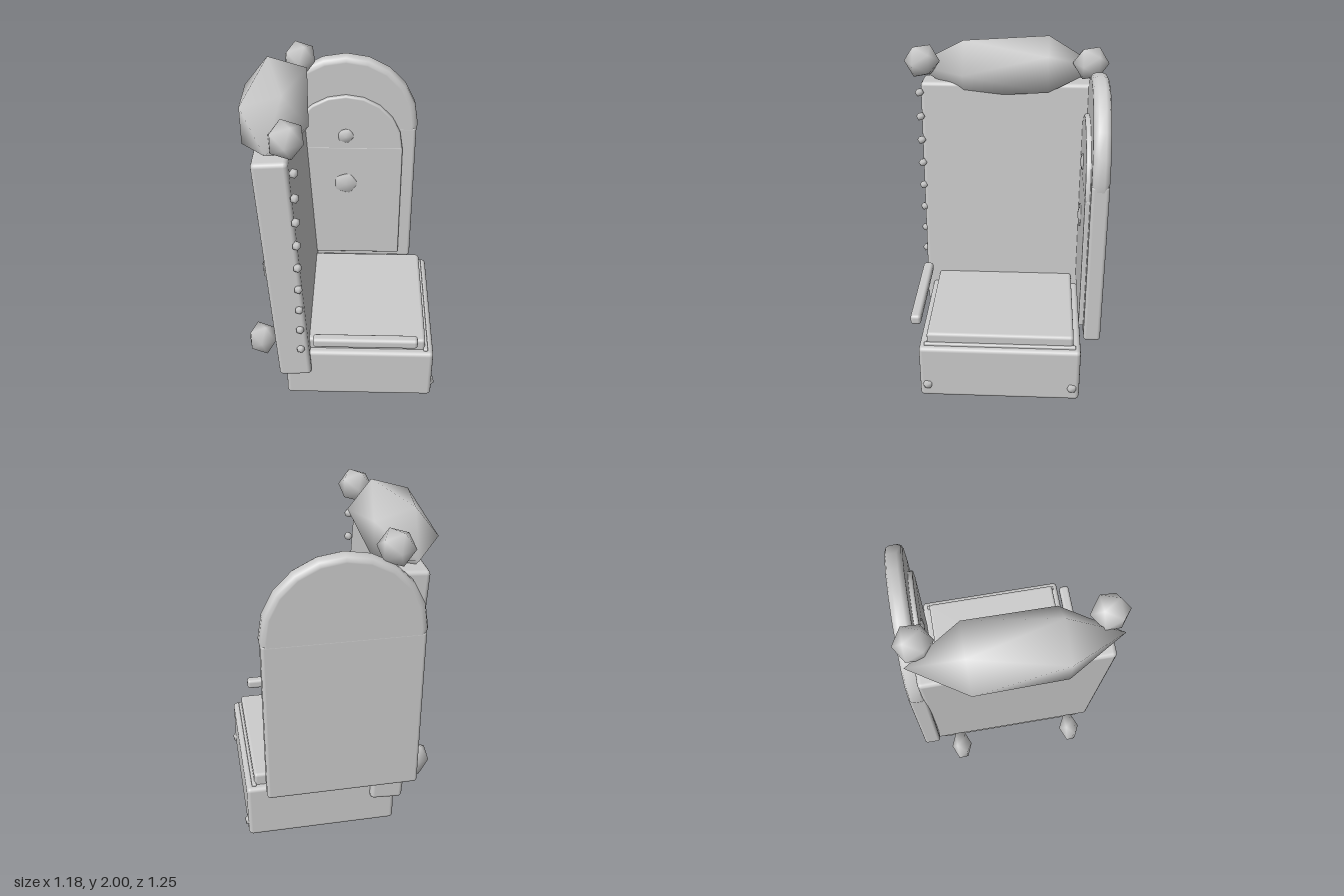
import * as THREE from 'three';
import { mergeVertices } from 'three/addons/utils/BufferGeometryUtils.js';
import { RoundedBoxGeometry } from 'three/addons/geometries/RoundedBoxGeometry.js';

export function createModel() {
  const model = new THREE.Group();
  model.name = 'highBackedSeat';
  const grey = new THREE.MeshStandardMaterial({ color: 0xcccccc });
  grey.name = 'light grey';

  function add(name, geometry, x, y, z) {
    const mesh = new THREE.Mesh(geometry, grey);
    mesh.name = name;
    mesh.position.set(x, y, z);
    model.add(mesh);
    return mesh;
  }

  // Softly bevelled block given by its extents
  function block(name, x0, x1, y0, y1, z0, z1, bevel) {
    const geometry = new RoundedBoxGeometry(x1 - x0, y1 - y0, z1 - z0, 2, bevel);
    return add(name, geometry, (x0 + x1) / 2, (y0 + y1) / 2, (z0 + z1) / 2);
  }

  // Smooth-shaded twelve-point ball with its poles along z
  function ball(name, x, y, z, rx, ry = rx, rz = rx) {
    let geometry = new THREE.IcosahedronGeometry(1, 0);
    geometry.rotateX(Math.atan(2 / (1 + Math.sqrt(5))));
    geometry.rotateZ(Math.PI / 2);
    geometry.deleteAttribute('normal');
    geometry.deleteAttribute('uv');
    geometry = mergeVertices(geometry, 1e-3);
    geometry.scale(rx, ry, rz);
    geometry.computeVertexNormals();
    return add(name, geometry, x, y, z);
  }

  // Bevelled disc facing z
  function disc(name, y, z, radius, depth, bevel) {
    const h = depth / 2;
    const profile = [
      [0, -h], [radius - bevel * 1.3, -h], [radius - bevel, -h],
      [radius - bevel * 0.3, -h + bevel * 0.3], [radius, -h + bevel],
      [radius, h - bevel], [radius - bevel * 0.3, h - bevel * 0.3],
      [radius - bevel, h], [radius - bevel * 1.3, h], [0, h],
    ].map(([r, t]) => new THREE.Vector2(r, t));
    const geometry = new THREE.LatheGeometry(profile, 20);
    geometry.rotateX(Math.PI / 2);
    return add(name, geometry, 0, y, z);
  }

  // Base and seat cushion
  block('base', -0.35, 0.57, 0, 0.36, -0.49, 0.49, 0.025);
  block('cushion', -0.3, 0.518, 0.33, 0.435, -0.445, 0.445, 0.02);
  block('cushionTrim', 0.508, 0.536, 0.345, 0.375, -0.46, 0.46, 0.008);
  block('frontBar', -0.175, 0.463, 0.455, 0.52, 0.482, 0.547, 0.02);

  // Leaning backrest
  const back = block('backrest', -0.435, -0.235, 0.2, 1.74, -0.53, 0.53, 0.025);
  back.rotation.z = 0.06;

  // Headrest roll with a knob at each end
  ball('headrestRoll', -0.39, 1.82, 0, 0.23, 0.21, 0.58);
  for (const z of [-0.513, 0.513]) ball('headrestKnob', -0.285, 1.88, z, 0.108, 0.108, 0.11);

  // Row of studs down the front edge of the backrest
  for (let i = 0; i < 9; i++) ball('stud', -0.25, 1.69 - i * 0.157, 0.532, 0.028);

  // Rear feet and base studs
  for (const side of [-1, 1]) {
    ball('rearFoot', -0.505, 0.363, side * 0.367, 0.096, 0.13, 0.065);
    ball('baseStud', 0.555, 0.09, side * 0.443, 0.038);
  }

  // Arched side wing
  block('wingPanel', -0.457, 0.457, 0.37, 1.41, -0.607, -0.505, 0.02);
  disc('wingArch', 1.425, -0.556, 0.465, 0.1, 0.03);

  // Inset padding on the wing with two buttons
  block('wingInset', -0.372, 0.372, 0.42, 1.275, -0.515, -0.477, 0.01);
  disc('wingInsetArch', 1.27, -0.497, 0.37, 0.038, 0.01);
  ball('upperButton', 0, 1.36, -0.478, 0.058, 0.058, 0.02);
  ball('lowerButton', 0, 1.0, -0.478, 0.085, 0.085, 0.02);

  return model;
}
